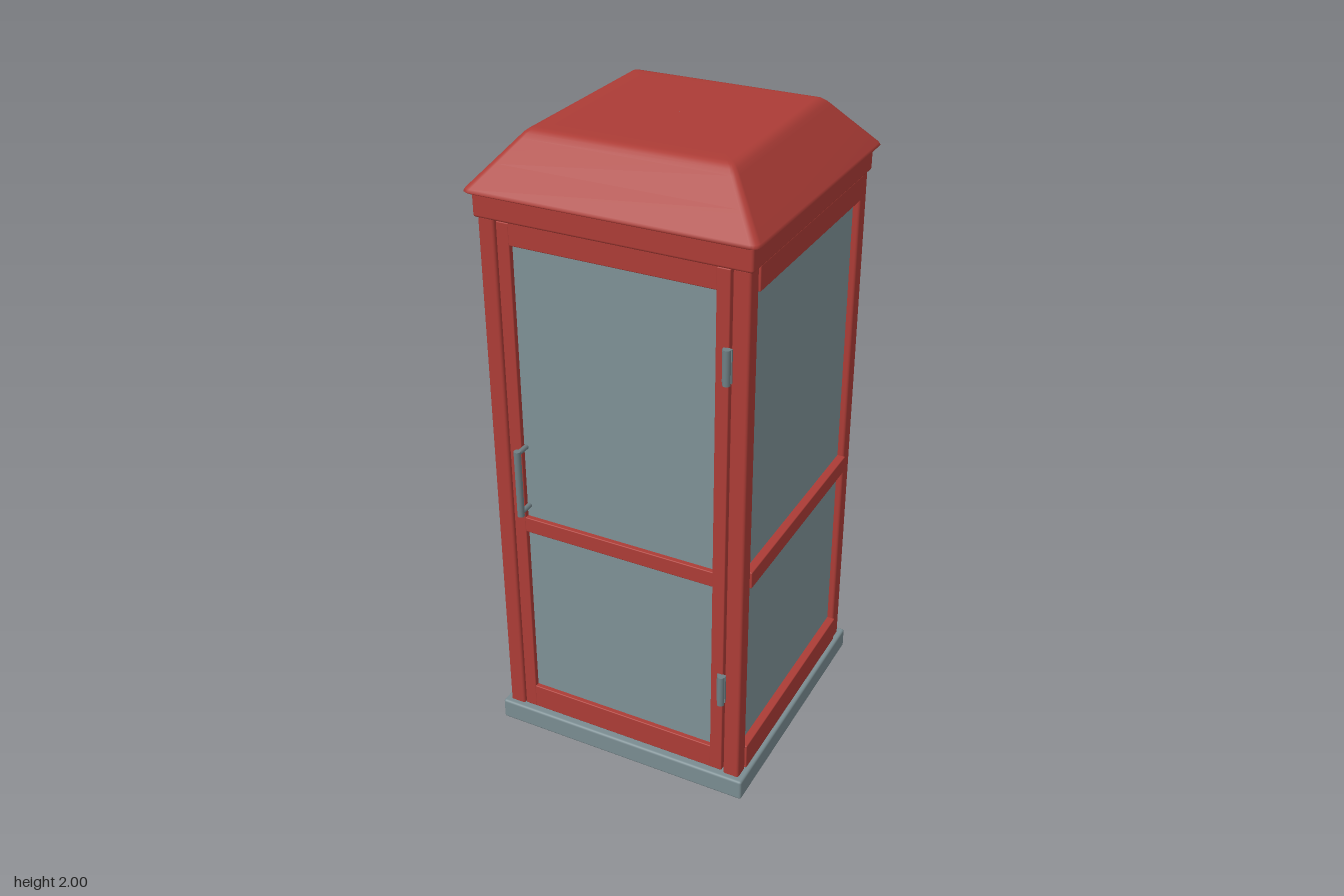
import * as THREE from 'three';
import { RoundedBoxGeometry } from 'three/addons/geometries/RoundedBoxGeometry.js';

const mat = (name, color) => new THREE.MeshStandardMaterial({ name, color });

export function createModel() {
  const red = mat('red paint', 0xac3c36);
  const glass = mat('grey glass', 0x7e9196);
  const stone = mat('grey base', 0x7a8c91);
  const metal = mat('grey metal', 0x6e7e83);

  const model = new THREE.Group();
  model.name = 'booth';
  const body = new THREE.Group();
  body.name = 'body';
  body.position.z = -0.0125;
  model.add(body);

  const add = (parent, name, geometry, material, x, y, z) => {
    const mesh = new THREE.Mesh(geometry, material);
    mesh.name = name;
    mesh.position.set(x, y, z);
    parent.add(mesh);
    return mesh;
  };
  const rounded = (w, h, d, r) => new RoundedBoxGeometry(w, h, d, 3, r);
  // box given by its x, y and z limits
  const block = (parent, name, material, x0, x1, y0, y1, z0, z1, r = 0.003) =>
    add(parent, name, rounded(x1 - x0, y1 - y0, z1 - z0, r), material,
      (x0 + x1) / 2, (y0 + y1) / 2, (z0 + z1) / 2);

  // base slab, top fascia and corner posts
  block(body, 'base', stone, -0.43, 0.43, 0, 0.07, -0.43, 0.43, 0.008);
  block(body, 'fascia', red, -0.42, 0.42, 1.765, 1.838, -0.42, 0.42, 0.008);
  for (const x of [-1, 1]) for (const z of [-1, 1]) {
    add(body, 'cornerPost', rounded(0.052, 1.71, 0.052, 0.008), red, x * 0.385, 0.915, z * 0.385);
  }

  // glazed walls on the left, back and right
  const rails = [[0.07, 0.157], [0.755, 0.81], [1.692, 1.766]];
  const panes = [[0.157, 0.755], [0.81, 1.692]];
  for (const [name, angle] of [['leftWall', Math.PI / 2], ['backWall', Math.PI], ['rightWall', -Math.PI / 2]]) {
    const wall = new THREE.Group();
    wall.name = name;
    wall.rotation.y = angle;
    body.add(wall);
    for (const [a, b] of rails) block(wall, 'rail', red, -0.361, 0.361, a, b, 0.365, 0.416);
    for (const [a, b] of panes) add(wall, 'pane', new THREE.BoxGeometry(0.724, b - a, 0.016), glass, 0, (a + b) / 2, 0.382);
  }

  // door with its jambs
  const door = new THREE.Group();
  door.name = 'door';
  body.add(door);
  for (const s of [-1, 1]) {
    add(door, 'jamb', new THREE.BoxGeometry(0.03, 1.7, 0.02), red, s * 0.352, 0.915, 0.38);
    const edge = [s * 0.313, s * 0.353].sort((a, b) => a - b);
    block(door, 'stile', red, ...edge, 0.074, 1.762, 0.37, 0.41);
  }
  for (const [a, b] of rails) block(door, 'rail', red, -0.316, 0.316, a + 0.004, b, 0.37, 0.4095);
  for (const [a, b] of panes) add(door, 'pane', new THREE.BoxGeometry(0.632, b - a, 0.016), glass, 0, (a + b) / 2, 0.386);

  // pull handle
  const handle = new THREE.Group();
  handle.name = 'handle';
  model.add(handle);
  add(handle, 'grip', new THREE.CylinderGeometry(0.011, 0.011, 0.224, 16), metal, -0.3, 0.958, 0.44);
  for (const y of [0.856, 1.06]) {
    const stub = add(handle, 'stub', new THREE.CylinderGeometry(0.008, 0.008, 0.05, 12), metal, -0.305, y, 0.416);
    stub.position.x = -0.3;
    stub.rotation.x = Math.PI / 2;
  }

  // hinges: barrel with a flat leaf
  for (const y of [0.402, 1.488]) {
    add(model, 'hingeBarrel', new THREE.CylinderGeometry(0.011, 0.011, 0.106, 16), metal, 0.353, y, 0.411);
    add(model, 'hingeLeaf', new THREE.BoxGeometry(0.028, 0.1, 0.008), metal, 0.35, y, 0.4);
  }

  // hipped roof: rounded squares stacked from the eave to the flat top
  const loop = (half, r, y) => {
    const points = [];
    for (let c = 0; c < 4; c++) for (let i = 0; i <= 4; i++) {
      const a = (c + i / 4) * Math.PI / 2;
      const cx = (c === 0 || c === 3 ? 1 : -1) * (half - r);
      const cz = (c < 2 ? 1 : -1) * (half - r);
      points.push([cx + r * Math.cos(a), y, cz + r * Math.sin(a)]);
    }
    return points;
  };
  const shell = (loops) => {
    const n = loops[0].length, index = [], flat = loops.flat(2);
    for (let k = 0; k + 1 < loops.length; k++) for (let i = 0; i < n; i++) {
      const a = k * n + i, b = k * n + (i + 1) % n;
      index.push(a, a + n, b, b, a + n, b + n);
    }
    const g = new THREE.BufferGeometry();
    g.setAttribute('position', new THREE.Float32BufferAttribute(flat, 3));
    g.setIndex(index);
    g.computeVertexNormals();
    return g;
  };
  const roof = new THREE.Group();
  roof.name = 'roof';
  body.add(roof);
  add(roof, 'roofSlopes', shell([
    loop(0.436, 0.022, 1.838), loop(0.44, 0.022, 1.842), loop(0.436, 0.022, 1.85),
    loop(0.38, 0.02, 1.914), loop(0.326, 0.018, 1.976), loop(0.315, 0.016, 1.988),
    loop(0.303, 0.014, 1.997), loop(0.288, 0.012, 2), loop(0.25, 0.01, 2), loop(0.001, 0.0005, 2),
  ]), red, 0, 0, 0);
  add(roof, 'roofUnderside', shell([loop(0.001, 0.0005, 1.838), loop(0.436, 0.022, 1.838)]), red, 0, 0, 0);

  return model;
}
